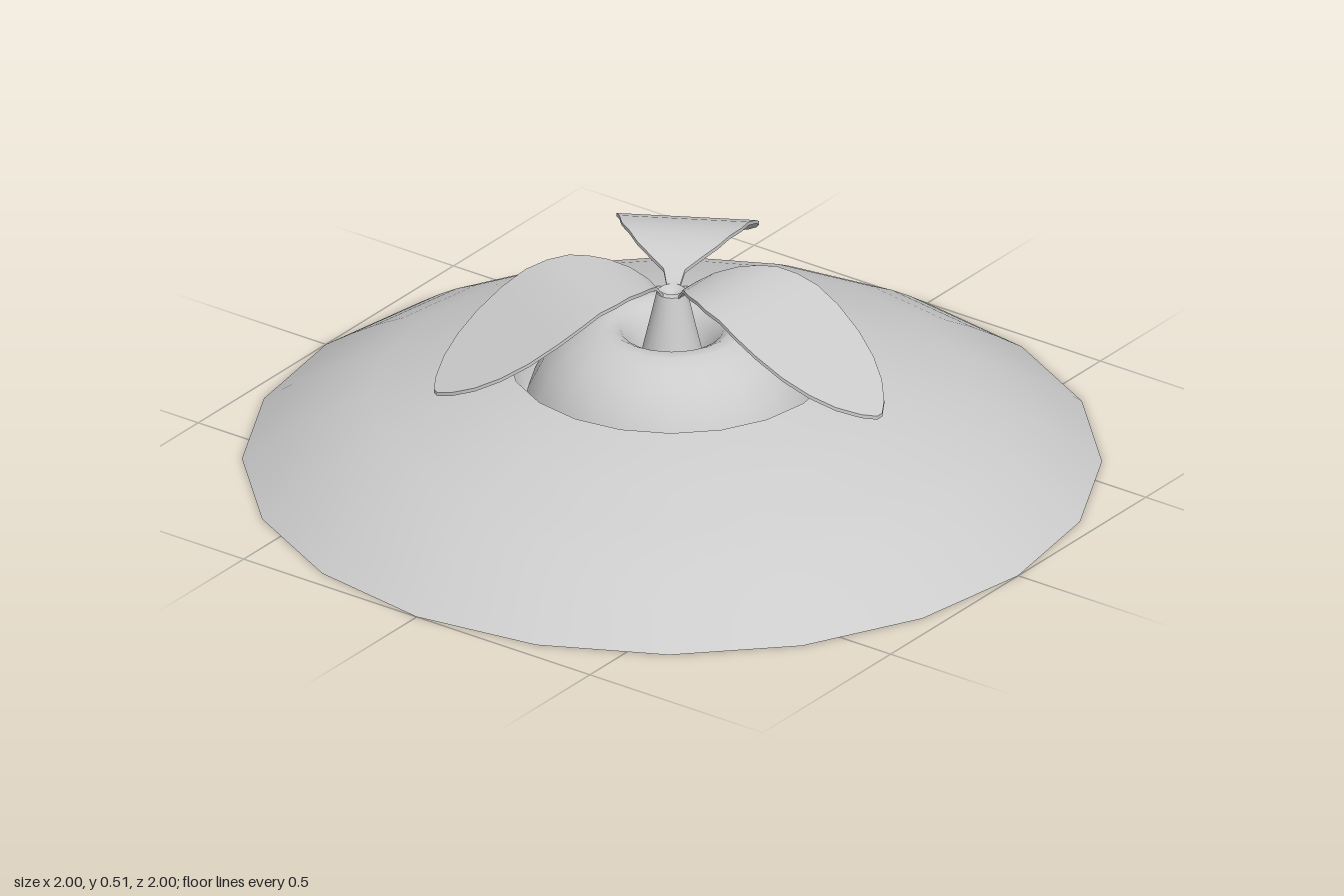
import * as THREE from 'three';

const material = new THREE.MeshStandardMaterial({ color: 0xcccccc, side: THREE.DoubleSide });
const SIDES = 20;

function lathe(name, points) {
  const geometry = new THREE.LatheGeometry(points.map(([r, y]) => new THREE.Vector2(r, y)), SIDES);
  const mesh = new THREE.Mesh(geometry, material);
  mesh.name = name;
  return mesh;
}

// Linear lookup in a short list of [position, value] pairs
function lookup(table, x) {
  for (let i = 1; i < table.length; i++) {
    const [x0, v0] = table[i - 1], [x1, v1] = table[i];
    if (x <= x1) return v0 + (v1 - v0) * (x - x0) / (x1 - x0);
  }
  return table[table.length - 1][1];
}

// Petal half width and height along its length
const petalStations = [0.02, 0.05, 0.08, 0.12, 0.16, 0.2, 0.25, 0.3, 0.36, 0.43, 0.49, 0.54, 0.58, 0.6];
const petalWidth = [[0.02, 0.012], [0.05, 0.025], [0.08, 0.06], [0.12, 0.095], [0.2, 0.14],
  [0.3, 0.163], [0.36, 0.163], [0.43, 0.15], [0.49, 0.125], [0.54, 0.09], [0.58, 0.045], [0.6, 0.01]];
const petalHeight = [[0.02, 0.425], [0.05, 0.465], [0.08, 0.484], [0.12, 0.497], [0.16, 0.504],
  [0.2, 0.504], [0.25, 0.496], [0.3, 0.476], [0.36, 0.443], [0.43, 0.4], [0.6, 0.295]];

function petalGeometry() {
  const steps = petalStations.length - 1;
  const geometry = new THREE.BoxGeometry(1, 0.009, 2, steps, 1, 4);
  const p = geometry.attributes.position;
  for (let i = 0; i < p.count; i++) {
    const x = petalStations[Math.round((p.getX(i) + 0.5) * steps)];
    p.setXYZ(i, x, lookup(petalHeight, x) + p.getY(i), p.getZ(i) * lookup(petalWidth, x));
  }
  geometry.computeVertexNormals();
  return geometry;
}

export function createModel() {
  const model = new THREE.Group();
  model.name = 'discWithPetals';

  // Wide shallow dome, open underneath
  model.add(lathe('domeShell', [[1, 0], [0.93, 0.048], [0.86, 0.092], [0.78, 0.135],
    [0.7, 0.168], [0.56, 0.216], [0.47, 0.242], [0.38, 0.263]]));

  // Recessed collar around the central cap
  model.add(lathe('collarWall', [[0.38, 0.263], [0.378, 0.2]]));
  model.add(lathe('collarSlope', [[0.378, 0.2], [0.36, 0.14], [0.345, 0.135]]));

  // Rounded cap with a dip around the stem
  model.add(lathe('cap', [[0.345, 0.135], [0.335, 0.19], [0.3, 0.26], [0.255, 0.31], [0.21, 0.34],
    [0.175, 0.354], [0.145, 0.356], [0.12, 0.342], [0.1, 0.31], [0.085, 0.28], [0.077, 0.26]]));

  // Tapered stem and its small top knob
  model.add(lathe('stem', [[0.077, 0.26], [0.055, 0.355], [0.036, 0.44]]));
  model.add(lathe('stemKnob', [[0.036, 0.44], [0.028, 0.446], [0.018, 0.435], [0, 0.43]]));

  // Three drooping petals
  const geometry = petalGeometry();
  for (let i = 0; i < 3; i++) {
    const petal = new THREE.Mesh(geometry, material);
    petal.name = `petal${i + 1}`;
    petal.rotation.y = i * Math.PI * 2 / 3;
    petal.position.y = i === 0 ? 0 : 0.003;
    model.add(petal);
  }
  return model;
}
